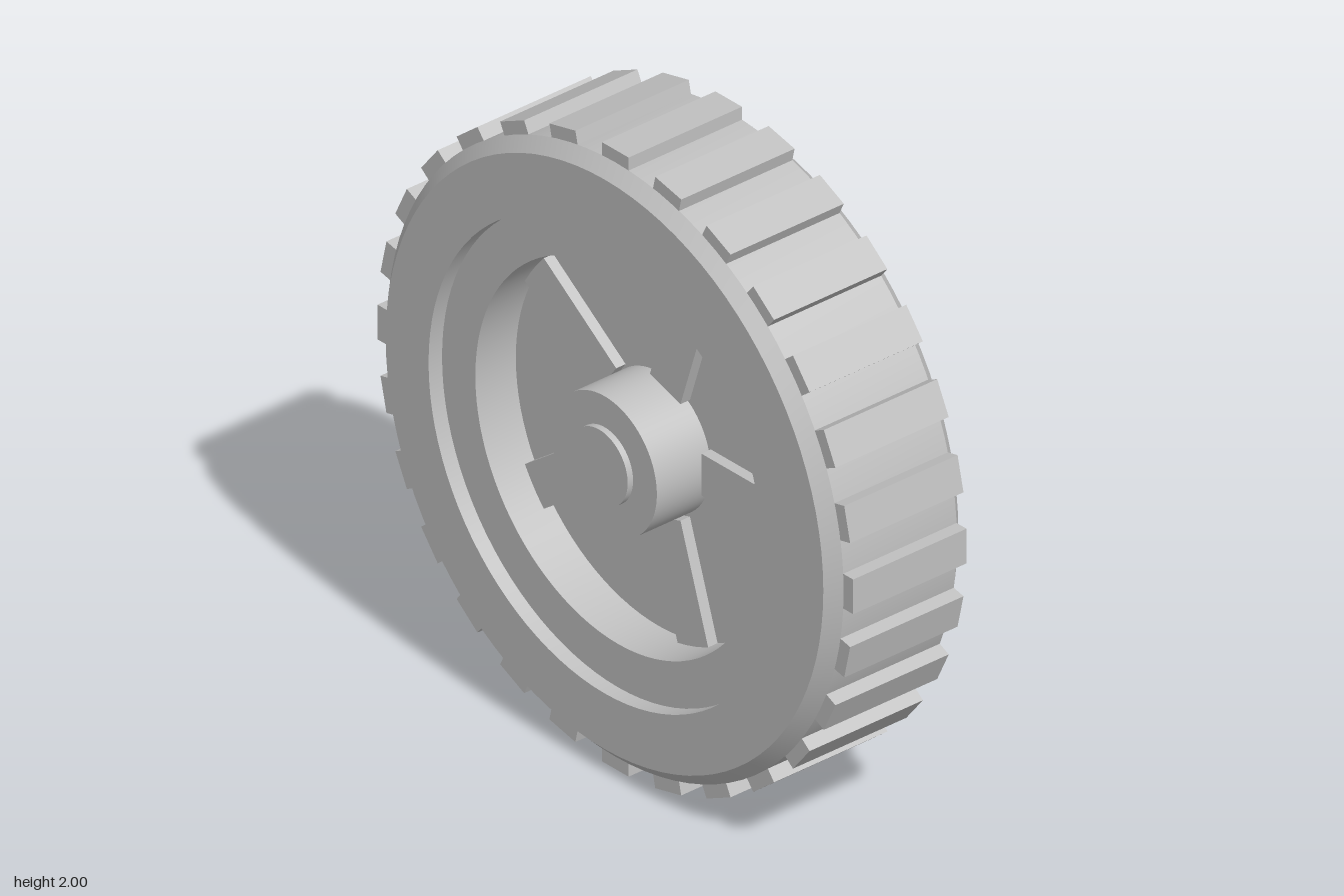
import * as THREE from 'three';
import { toCreasedNormals } from 'three/addons/utils/BufferGeometryUtils.js';

const SEGMENTS = 96;
const TREADS = 28;
const SPOKES = 5;

export function createModel() {
  const model = new THREE.Group();
  model.name = 'wheel';
  const grey = new THREE.MeshStandardMaterial({ color: 0xc0c0c0 });
  grey.name = 'grey';

  const add = (name, geometry, parent = model) => {
    const mesh = new THREE.Mesh(geometry, grey);
    mesh.name = name;
    parent.add(mesh);
    return mesh;
  };

  // Closed ring turned about the z axis from [radius, z] points
  const ring = (name, profile) => {
    const points = [...profile, profile[0]].map(([r, z]) => new THREE.Vector2(r, z));
    const geometry = new THREE.LatheGeometry(points, SEGMENTS).rotateX(Math.PI / 2);
    add(name, toCreasedNormals(geometry, 0.5));
  };

  // Solid disc centred on the z axis
  const disc = (name, radius, halfWidth) => add(name,
    new THREE.CylinderGeometry(radius, radius, halfWidth * 2, SEGMENTS).rotateX(Math.PI / 2));

  // Equal blocks spread around the z axis, reaching from inner to outer radius
  const radialBlocks = (name, count, inner, outer, width, depth, start) => {
    const group = new THREE.Group();
    group.name = name + 's';
    const geometry = new THREE.BoxGeometry(outer - inner, width, depth)
      .translate((inner + outer) / 2, 0, 0);
    for (let i = 0; i < count; i++) {
      add(name, geometry, group).rotation.z = start + (i / count) * Math.PI * 2;
    }
    model.add(group);
  };

  // Tyre with chamfered shoulders and tread bars
  ring('tyre', [[0.74, -0.25], [0.92, -0.25], [0.96, -0.21], [0.96, 0.21], [0.92, 0.25], [0.74, 0.25]]);
  radialBlocks('treadBar', TREADS, 0.94, 1.0, 0.112, 0.42, 0);

  // Recessed rim and centre web
  ring('rim', [[0.6, -0.2], [0.75, -0.2], [0.75, 0.2], [0.6, 0.2]]);
  disc('web', 0.61, 0.05);

  // Spokes stand proud on both sides of the web
  radialBlocks('spoke', SPOKES, 0.22, 0.603, 0.135, 0.17, 0);

  // Hub and axle ends
  disc('hub', 0.22, 0.25);
  disc('axle', 0.12, 0.27);

  model.position.y = 1;
  return model;
}
